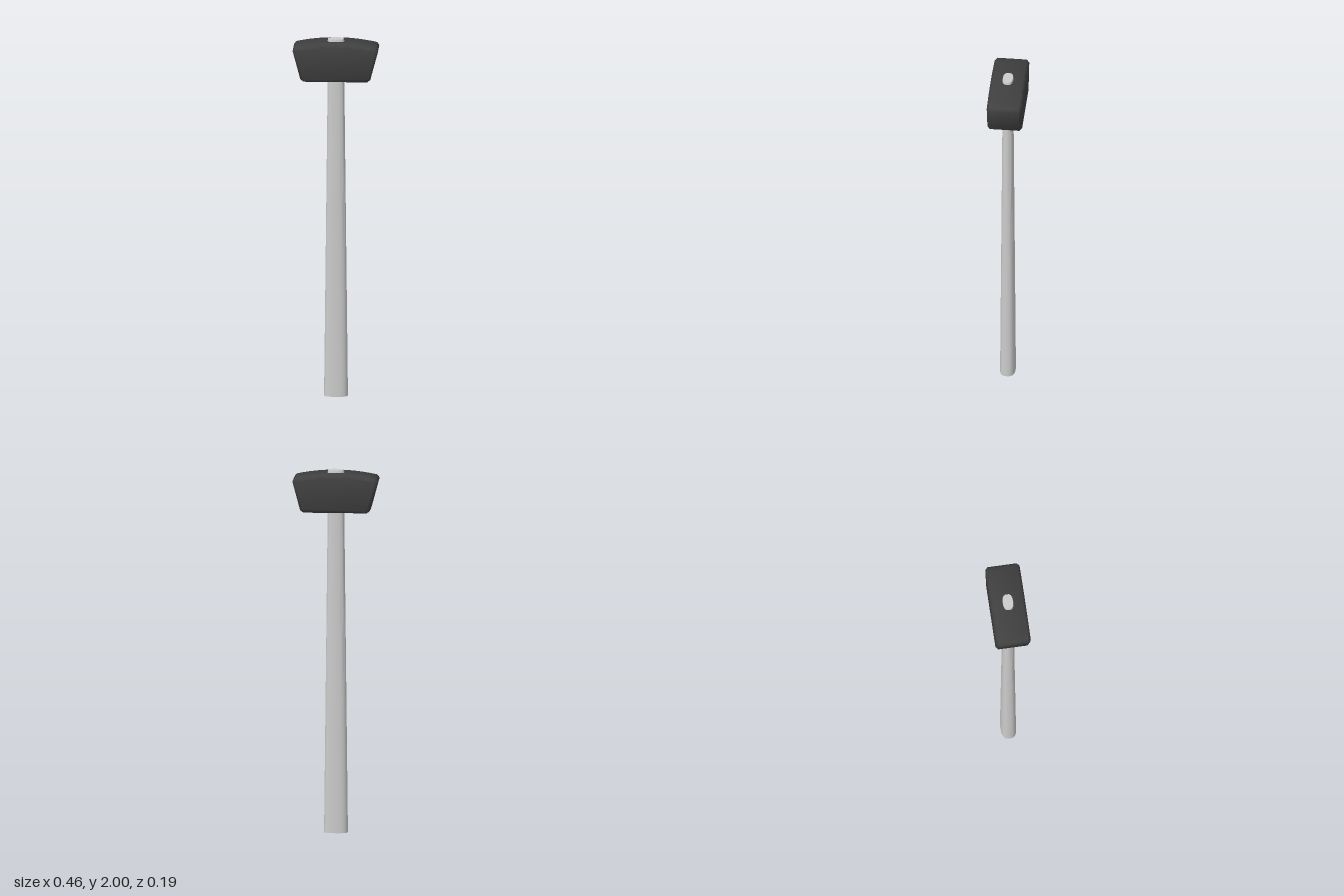
import * as THREE from 'three';
import { toCreasedNormals } from 'three/addons/utils/BufferGeometryUtils.js';

// Iron head: arched trapezoid profile, all edges chamfered
function createHead() {
  const bevel = 0.014, depth = 0.188;
  const half = [[0.172, 1.775], [0.19, 1.788], [0.232, 1.945], [0.22, 1.962]];
  const s = new THREE.Shape();
  s.moveTo(-half[0][0], half[0][1]);
  half.forEach(([x, y]) => s.lineTo(x, y));
  s.quadraticCurveTo(0, 2.01, -half[3][0], half[3][1]); // arched top
  s.lineTo(-half[2][0], half[2][1]);
  s.lineTo(-half[1][0], half[1][1]);
  s.closePath();
  const geo = new THREE.ExtrudeGeometry(s, {
    depth: depth - 2 * bevel,
    bevelThickness: bevel, bevelSize: bevel, bevelOffset: -bevel,
    bevelSegments: 1, curveSegments: 12,
  });
  geo.translate(0, 0, -depth / 2 + bevel);
  const head = new THREE.Mesh(toCreasedNormals(geo, 1.0),
    new THREE.MeshStandardMaterial({ color: 0x404040 }));
  head.name = 'head';
  return head;
}

// Wooden handle: flattened oval section, tapering upwards
function createHandle() {
  const geo = new THREE.CylinderGeometry(1, 1, 2, 24, 20);
  geo.translate(0, 1, 0);
  const pos = geo.attributes.position;
  const soften = (v) => Math.sign(v) * Math.abs(v) ** 0.75;
  for (let i = 0; i < pos.count; i++) {
    const y = pos.getY(i);
    const t = Math.min(y / 1.8, 1);
    const tip = y > 1.99 ? 0.94 : 1; // slightly eased top edge
    pos.setX(i, soften(pos.getX(i)) * THREE.MathUtils.lerp(0.065, 0.045, t) * tip);
    pos.setZ(i, soften(pos.getZ(i)) * THREE.MathUtils.lerp(0.042, 0.029, t) * tip);
    // keep the tip's easing short
    if (y > 1.85 && y < 1.95) pos.setY(i, 1.99);
  }
  const handle = new THREE.Mesh(toCreasedNormals(geo, 0.9),
    new THREE.MeshStandardMaterial({ color: 0xcccccc }));
  handle.name = 'handle';
  return handle;
}

export function createModel() {
  const model = new THREE.Group();
  model.name = 'hammer';
  model.add(createHead(), createHandle());
  return model;
}
